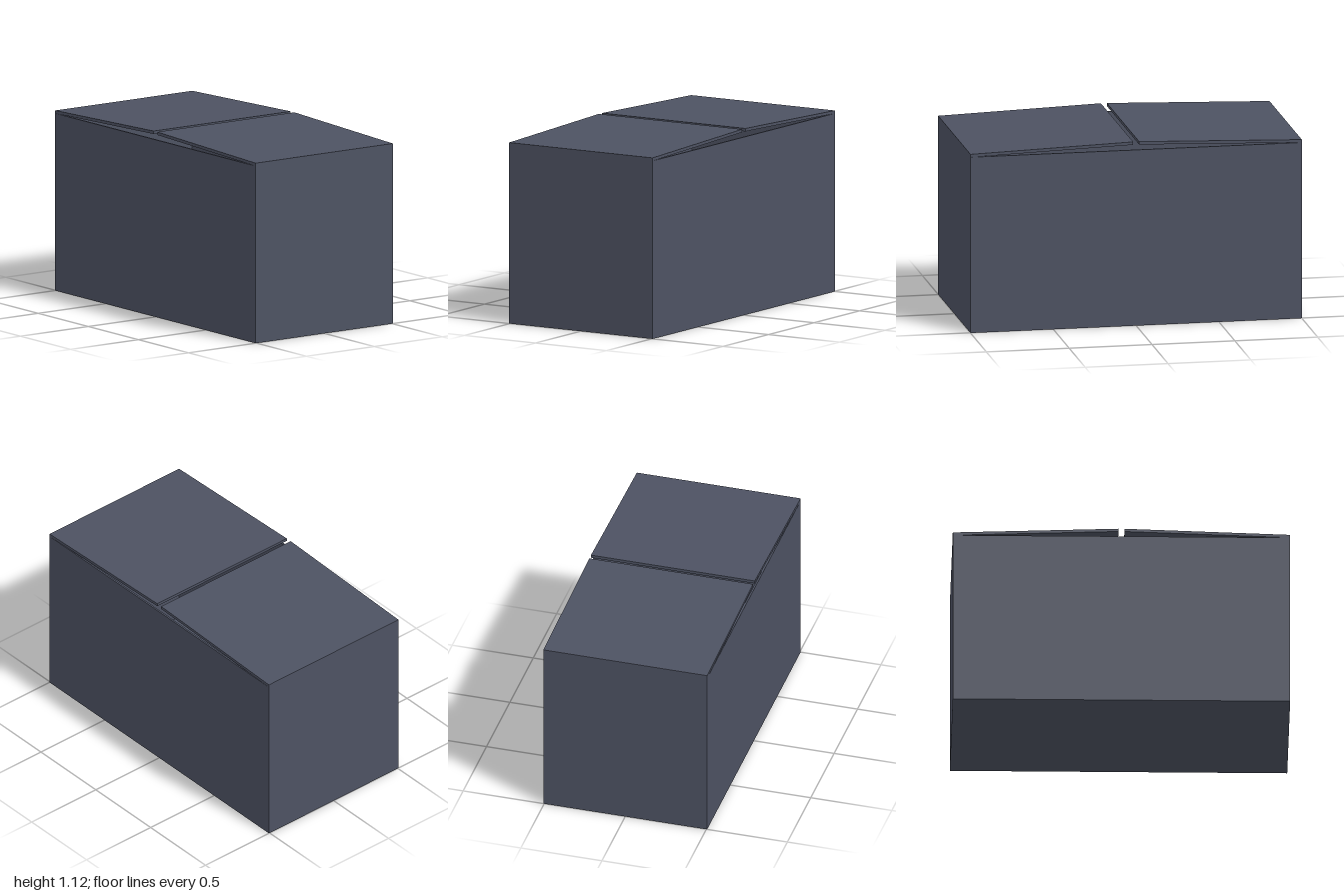
import * as THREE from 'three';

const W = 1, D = 0.505, T = 0.011;      // half width, half depth, board thickness
const RIM = 1.07, HINGE = 1.088, PEAK = 1.12, GAP = 0.018;

export function createModel() {
  const group = new THREE.Group();
  const board = new THREE.MeshStandardMaterial({ color: 0x4d5262, flatShading: true });

  const add = (name, geometry) => {
    const mesh = new THREE.Mesh(geometry, board);
    mesh.name = name;
    group.add(mesh);
    return mesh;
  };
  const polygon = (points) => new THREE.Shape(points.map(([x, y]) => new THREE.Vector2(x, y)));
  const rectangle = (a, b) => [[-a, -b], [a, -b], [a, b], [-a, b]];

  // Hollow four-sided wall, open at the top
  const ring = polygon(rectangle(W, D));
  ring.holes.push(polygon(rectangle(W - T, D - T)));
  const walls = new THREE.ExtrudeGeometry(ring, { depth: RIM, bevelEnabled: false });
  walls.rotateX(-Math.PI / 2);
  add('walls', walls);

  // Floor panel
  const floor = new THREE.BoxGeometry(2 * (W - T), T, 2 * (D - T));
  floor.translate(0, T / 2, 0);
  add('floor', floor);

  // Two lid flaps hinged on the short sides, rising slightly to the middle gap
  for (const side of [1, -1]) {
    const profile = polygon([
      [side * W, RIM],
      [side * W, HINGE],
      [side * GAP, PEAK],
      [side * GAP, PEAK - (HINGE - RIM)],
    ]);
    const flap = new THREE.ExtrudeGeometry(profile, { depth: 2 * D, bevelEnabled: false });
    flap.translate(0, 0, -D);
    add(side > 0 ? 'leftFlap' : 'rightFlap', flap);
  }
  return group;
}
